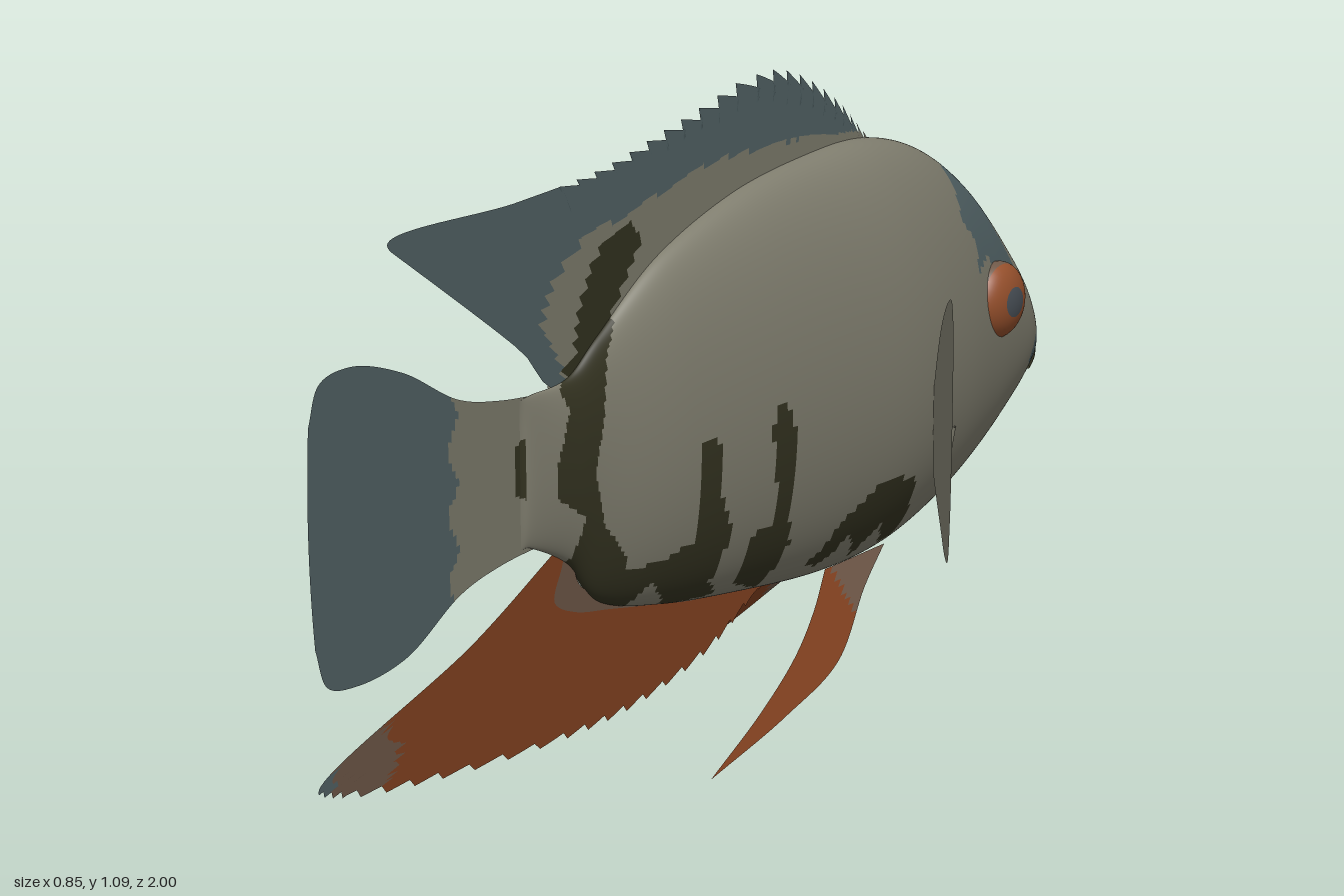
import * as THREE from 'three';

const mat = (name, color) => {
  const m = new THREE.MeshStandardMaterial({ color, side: THREE.DoubleSide });
  m.name = name;
  return m;
};

// Smooth curve through [z, y] pairs lying on x = 0
const curve = (pts) => new THREE.CatmullRomCurve3(pts.map(([z, y]) => new THREE.Vector3(0, y, z)));

// Point-in-polygon test on the side profile (z, y)
function inside(poly, z, y) {
  let hit = false;
  for (let i = 0, j = poly.length - 1; i < poly.length; j = i++) {
    const [zi, yi] = poly[i], [zj, yj] = poly[j];
    if ((yi > y) !== (yj > y) && z < ((zj - zi) * (y - yi)) / (yj - yi) + zi) hit = !hit;
  }
  return hit;
}

// Grid surface whose cells are painted by a rule returning a material
function sheet(name, nu, nv, point, paint, closed = false) {
  const pos = [], cells = new Map(), cols = closed ? nv : nv + 1;
  for (let i = 0; i <= nu; i++)
    for (let j = 0; j < cols; j++) pos.push(...point(i / nu, j / nv).toArray());
  for (let i = 0; i < nu; i++)
    for (let j = 0; j < nv; j++) {
      const p = point((i + 0.5) / nu, (j + 0.5) / nv);
      const m = paint(p, (i + 0.5) / nu, (j + 0.5) / nv);
      if (!cells.has(m)) cells.set(m, []);
      const a = i * cols + j, b = i * cols + ((j + 1) % cols);
      cells.get(m).push(a, b, a + cols, b, b + cols, a + cols);
    }
  const geo = new THREE.BufferGeometry();
  geo.setAttribute('position', new THREE.Float32BufferAttribute(pos, 3));
  const index = [], mats = [];
  for (const [m, list] of cells) {
    geo.addGroup(index.length, list.length, mats.length);
    mats.push(m);
    for (const k of list) index.push(k);
  }
  geo.setIndex(index);
  geo.computeVertexNormals();
  const mesh = new THREE.Mesh(geo, mats);
  mesh.name = name;
  return mesh;
}

// Fin membrane spanning two curves; shape(p, u, v) may displace each point
function fin(name, a, b, nu, nv, paint, shape = () => {}) {
  const ca = curve(a), cb = curve(b);
  return sheet(name, nu, nv, (u, v) => {
    const p = ca.getPoint(u).lerp(cb.getPoint(u), v);
    shape(p, u, v);
    return p;
  }, paint);
}

// Dark flank bars
const BARS = [
  [[.27, .88], [.21, .89], [.18, .86], [.25, .765], [.305, .685], [.325, .6], [.35, .51], [.33, .42], [.27, .35], [.29, .28],
    [.37, .27], [.4, .32], [.37, .44], [.43, .48], [.43, .535], [.395, .62], [.41, .65], [.36, .685], [.35, .765], [.315, .835]],
  [[.12, .525], [.085, .525], [.075, .43], [.04, .355], [.06, .27], [.02, .235], [.145, .24], [.21, .3], [.25, .255], [.3, .27],
    [.27, .335], [.2, .33], [.13, .355], [.12, .43]],
  [[-.05, .565], [-.09, .545], [-.1, .46], [-.095, .375], [-.12, .3], [-.095, .22], [-.005, .25], [-.015, .335], [-.06, .35],
    [-.055, .445], [-.04, .515]],
  [[-.2, .24], [-.255, .31], [-.31, .35], [-.365, .375], [-.455, .35], [-.465, .245], [-.42, .235], [-.38, .285], [-.335, .23],
    [-.295, .28], [-.24, .23]],
  [[.49, .59], [.51, .58], [.51, .5], [.49, .49]],
];
// Slate face markings: brow band, forehead spot, snout
const FACE = [
  [[-.62, .78], [-.64, .84], [-.655, .97], [-.765, .9], [-.77, .8], [-.83, .77], [-.78, .755], [-.82, .7], [-.85, .65], [-.82, .6],
    [-.78, .66], [-.69, .71], [-.64, .68], [-.66, .74]],
  [[-.845, .72], [-.8, .75], [-.8, .83], [-.845, .83]],
  [[-.9, .48], [-.975, .575], [-1.01, .59], [-1.01, .45], [-.93, .455]],
];

// Body stations: z, top, bottom, half width
const BODY = [
  [-1, .5, .5, 0], [-.985, .55, .455, .035], [-.94, .63, .43, .065], [-.87, .71, .385, .09], [-.74, .83, .31, .12],
  [-.6, .91, .25, .142], [-.45, .943, .21, .148], [-.28, .935, .2, .135], [-.07, .9, .215, .11], [.14, .825, .24, .077],
  [.3, .72, .28, .044], [.38, .665, .36, .03], [.47, .655, .405, .012], [.5, .65, .41, 0],
];
const spline = (k) => new THREE.CatmullRomCurve3(BODY.map((s) => new THREE.Vector3(s[3], s[k], s[0])), false, 'catmullrom');
const back = spline(1), belly = spline(2);

function bodyPoint(u, v) {
  const t = back.getPoint(u), b = belly.getPoint(u), a = v * Math.PI * 2 - Math.PI / 2;
  const s = Math.sin(a), w = Math.max(0, t.x);
  return new THREE.Vector3(w * Math.cos(a) * (1 - 0.08 * s), (t.y + b.y) / 2 + ((t.y - b.y) / 2) * s, t.z);
}

// Flank x at a given side-profile position
function flank(z, y) {
  let lo = 0, hi = 1;
  for (let i = 0; i < 30; i++) {
    const m = (lo + hi) / 2;
    if (back.getPoint(m).z < z) lo = m; else hi = m;
  }
  const t = back.getPoint(lo), b = belly.getPoint(lo);
  const s = THREE.MathUtils.clamp((y - (t.y + b.y) / 2) / ((t.y - b.y) / 2), -1, 1);
  return t.x * Math.sqrt(1 - s * s) * (1 - 0.08 * s);
}

export function createModel() {
  const olive = mat('olive grey', 0x7f7d6e), dark = mat('dark bar', 0x333220), slate = mat('slate blue', 0x526366);
  const orange = mat('rust orange', 0x844221), brown = mat('dusky brown', 0x6f5848), iris = mat('iris orange', 0x96502c);
  const pupilMat = mat('pupil', 0x4a5158);
  const group = new THREE.Group();
  const barred = (p) => BARS.some((b) => inside(b, p.z, p.y));
  const ripple = (p) => 0.012 * Math.sin(p.y * 60);

  group.add(sheet('body', 220, 140, bodyPoint, (p) =>
    barred(p) ? dark : FACE.some((f) => inside(f, p.z, p.y)) ? slate : olive, true));

  // Dorsal fin with backward-leaning spines
  const dorsalOlive = [[-.5, .9], [-.46, .955], [-.28, .965], [-.02, .962], [.2, .91], [.33, .885], [.41, .83], [.445, .76],
    [.4, .7], [.36, .6], [0, .7]];
  group.add(fin('dorsalFin',
    [[-.49, .92], [-.36, .93], [-.18, .91], [.04, .86], [.2, .78], [.32, .695], [.37, .66], [.4, .655], [.405, .65], [.41, .65]],
    [[-.5, .935], [-.39, 1.025], [-.21, 1.095], [.04, 1.045], [.27, .99], [.5, .965], [.81, .945], [.68, .87], [.55, .79], [.44, .67]],
    400, 16, (p) => (barred(p) ? dark : inside(dorsalOlive, p.z, p.y) ? olive : slate),
    (p, u, v) => {
      if (u > 0.5) return;
      const f = (u * 44) % 1;
      p.y -= 0.045 * (1 - f) * (1 - 1.6 * u) * v ** 3;
      p.z += 0.02 * f * v ** 3;
    }));

  group.add(fin('tailFin',
    [[.4, .65], [.55, .66], [.65, .68], [.78, .745], [.9, .775], [.97, .76], [.995, .7]],
    [[.4, .41], [.55, .395], [.65, .37], [.78, .3], [.9, .283], [.965, .297], [.99, .36]],
    90, 50, (p) => (barred(p) ? dark : p.z + ripple(p) > .665 ? slate : olive),
    (p, u, v) => { p.z += 0.03 * u ** 6 * v * (1 - v); }));

  // Anal fin with a ragged lower edge
  group.add(fin('analFin',
    [[.38, .4], [.37, .37], [.35, .32], [.3, .295], [.22, .28], [.12, .26], [.02, .24], [-.07, .23], [-.17, .21]],
    [[.41, .39], [.62, .285], [.99, .14], [.93, .115], [.7, .085], [.4, .07], [.2, .08], [0, .125], [-.15, .2]],
    180, 20, (p, u, v) => (p.z > .95 ? slate : p.z + 0.02 * Math.sin(p.y * 50) > .82 || v < 0.12 ? brown : orange),
    (p, u, v) => { if (u > 0.27) p.y += 0.014 * ((u * 30) % 1) * v ** 4; }));

  // Paired parts, modelled on the left and mirrored
  for (const side of [1, -1]) {
    const pair = new THREE.Group();
    pair.name = side > 0 ? 'leftParts' : 'rightParts';
    pair.scale.x = side;

    pair.add(fin('pectoralFin',
      [[-.47, .51], [-.44, .55], [-.33, .66], [-.2, .735], [-.13, .75], [-.095, .71]],
      [[-.47, .37], [-.43, .355], [-.3, .32], [-.21, .298], [-.15, .31], [-.115, .4]],
      40, 20, () => olive,
      (p, u, v) => {
        p.z += 0.03 * u ** 6 * v * (1 - v);
        p.x = 0.145 + (p.z + 0.47) * 0.74;
      }));

    pair.add(fin('pelvicFin',
      [[-.28, .215], [-.2, .165], [-.1, .115], [.05, .06], [.25, 0]],
      [[-.47, .22], [-.36, .17], [-.2, .085], [0, .04], [.25, 0]],
      60, 8, (p) => (p.z < -.3 ? brown : orange),
      (p) => { p.x = 0.045 + (0.22 - p.y) * 0.65; }));

    // Eye: dusky rim, orange iris and pupil as bands of one flattened ball
    const eye = new THREE.Group();
    eye.name = 'eye';
    [['pupil', 0, 0.4, pupilMat], ['iris', 0.4, 0.85, iris], ['eyeRim', 1.25, 0.6, brown]].forEach(([name, from, len, m]) => {
      const band = new THREE.Mesh(new THREE.SphereGeometry(1, 36, 10, 0, Math.PI * 2, from, len), m);
      band.name = name;
      eye.add(band);
    });
    eye.scale.set(.07, .042, .07);
    eye.rotation.z = -Math.PI / 2;
    eye.position.set(.109, .625, -.73);
    pair.add(eye);

    // Gill cover edge and mouth line, laid on the flank
    const lines = [
      ['gillEdge', olive, [[-.55, .43], [-.555, .38], [-.585, .32], [-.64, .295], [-.7, .295]]],
      ['mouth', dark, [[-.985, .485], [-.95, .475], [-.92, .462]]],
    ];
    for (const [name, m, pts] of lines) {
      const path = new THREE.CatmullRomCurve3(pts.map(([z, y]) => new THREE.Vector3(flank(z, y), y, z)));
      const line = new THREE.Mesh(new THREE.TubeGeometry(path, 24, 0.004, 6), m);
      line.name = name;
      pair.add(line);
    }
    group.add(pair);
  }
  return group;
}
